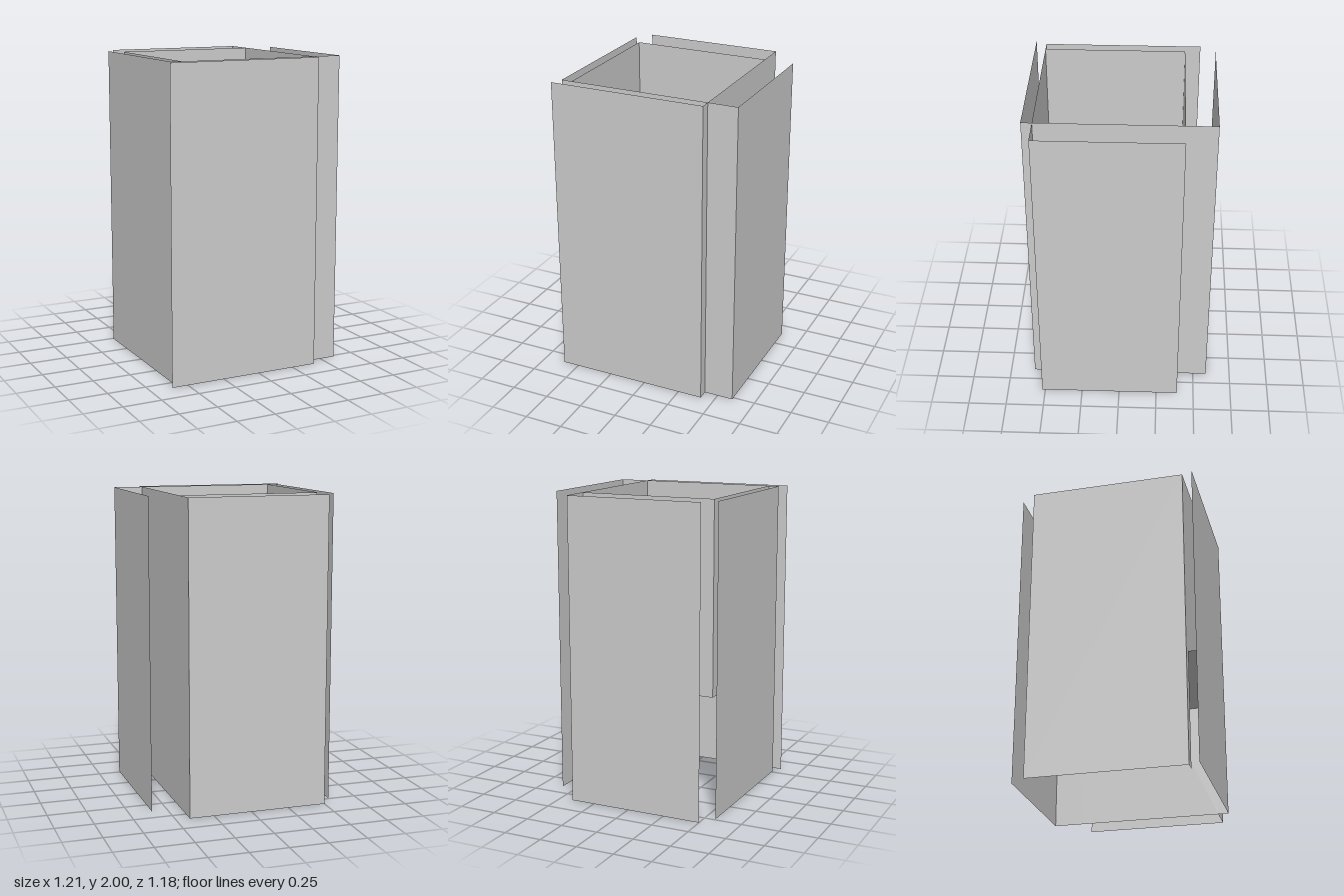
import * as THREE from 'three';

// Thin sheet-metal style housing: a raised inner box wrapped by four open flaps.
export function createModel() {
  const group = new THREE.Group();
  const material = new THREE.MeshStandardMaterial({ color: 0xcccccc, side: THREE.DoubleSide });

  const TOP = 2, FLOOR = 0.76;
  const L = -0.5, R = 0.41, B = -0.39, F = 0.52; // inner box sides

  // Upright sheet between two plan points (x, z)
  function sheet(name, [x0, z0], [x1, z1], y0 = 0, y1 = TOP) {
    const dx = x1 - x0, dz = z1 - z0;
    const mesh = new THREE.Mesh(new THREE.PlaneGeometry(Math.hypot(dx, dz), y1 - y0), material);
    mesh.position.set((x0 + x1) / 2, (y0 + y1) / 2, (z0 + z1) / 2);
    mesh.rotation.y = Math.atan2(-dz, dx);
    mesh.name = name;
    group.add(mesh);
  }

  // Inner box: only the right wall reaches the ground
  sheet('innerFrontWall', [L, F], [R, F], FLOOR);
  sheet('innerBackWall', [R, B], [L, B], FLOOR);
  sheet('innerLeftWall', [L, B], [L, F], FLOOR);
  sheet('innerRightWall', [R, F], [R, B]);

  // Outer flaps, each joined to a box corner by a narrow return
  const flaps = [
    ['front', [R, F], [R, 0.588], [-0.607, 0.588]],
    ['right', [R, F], [0.603, F], [0.603, B]],
    ['back', [R, B], [R, -0.588], [L, -0.588]],
    ['left', [L, F], [-0.57, F], [-0.57, -0.49]],
  ];
  for (const [side, corner, bend, end] of flaps) {
    sheet(side + 'Return', corner, bend);
    // order the points so that the sheet faces outwards
    if (side === 'front' || side === 'left') sheet(side + 'Panel', end, bend);
    else sheet(side + 'Panel', bend, end);
  }

  // Raised floor, running through to the front panel
  const frontZ = 0.588;
  const floor = new THREE.Mesh(new THREE.PlaneGeometry(R - L, frontZ - B), material);
  floor.rotation.x = -Math.PI / 2;
  floor.position.set((L + R) / 2, FLOOR, (B + frontZ) / 2);
  floor.name = 'raisedFloor';
  group.add(floor);

  return group;
}
